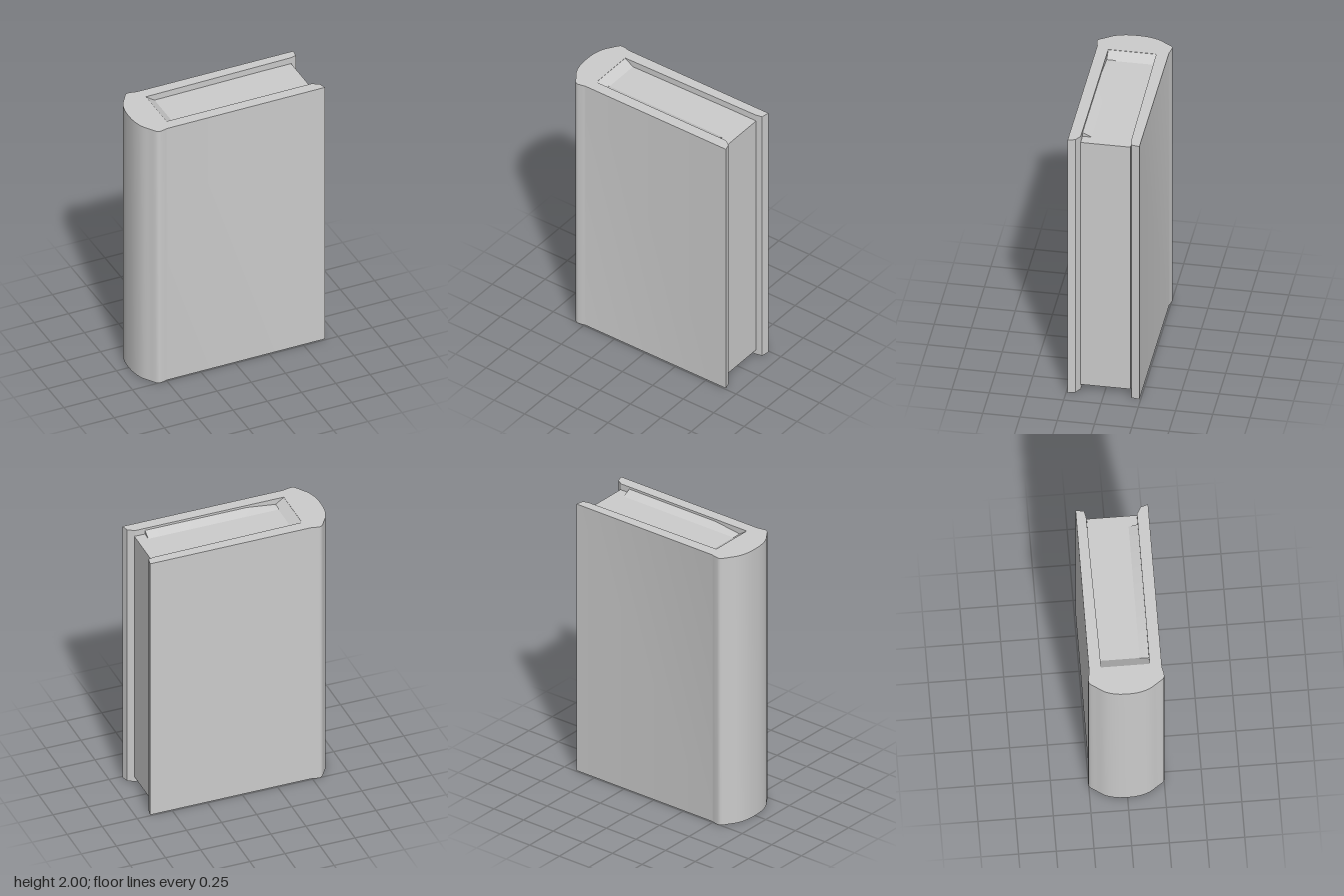
import * as THREE from 'three';
import { toCreasedNormals } from 'three/addons/utils/BufferGeometryUtils.js';

const material = new THREE.MeshStandardMaterial({ color: 0xcccccc });

function addMesh(group, name, geometry) {
  const mesh = new THREE.Mesh(toCreasedNormals(geometry, 0.5), material);
  mesh.name = name;
  group.add(mesh);
  return mesh;
}

// Extrudes an outline of [x, y] points along z by the given depth.
function prism(points, depth) {
  const shape = new THREE.Shape(points.map(([x, y]) => new THREE.Vector2(x, y)));
  return new THREE.ExtrudeGeometry(shape, { depth, bevelEnabled: false });
}

export function createModel() {
  const book = new THREE.Group();
  book.name = 'book';

  // Cover: two boards joined by a rounded spine, drawn as [x, -z] and raised along y
  const spineCurve = new THREE.SplineCurve([
    [-0.49, 0.241], [-0.53, 0.25], [-0.565, 0.248], [-0.6, 0.2], [-0.635, 0.145], [-0.655, 0.075],
    [-0.66, 0], [-0.655, -0.075], [-0.635, -0.145], [-0.6, -0.2], [-0.565, -0.248], [-0.53, -0.25], [-0.49, -0.241],
  ].map(([x, y]) => new THREE.Vector2(x, y)));
  const spine = spineCurve.getPoints(36).map((p) => [p.x, p.y]);
  const cover = prism([
    ...spine,
    [0.66, -0.24], [0.645, -0.19], [0.6, -0.162], [-0.46, -0.162],
    [-0.46, 0.16], [0.6, 0.175], [0.645, 0.185], [0.655, 0.241],
  ], 2);
  cover.rotateX(-Math.PI / 2);
  addMesh(book, 'cover', cover);

  // Page block, set in from the cover at the top, bottom and fore edge
  const pages = new THREE.BoxGeometry(1.085, 1.915, 0.336);
  pages.translate(0.0625, 0.9975, -0.004);
  addMesh(book, 'pages', pages);

  // Sloping strip of pages rising to the front board, narrowing towards the spine
  const ramp = prism([[0.09, 1.95], [0.175, 1.95], [0.175, 1.99]], 0.99);
  ramp.rotateY(-Math.PI / 2);
  ramp.translate(0.53, 0, 0);
  const pos = ramp.attributes.position;
  for (let i = 0; i < pos.count; i++) {
    if (pos.getX(i) < 0 && pos.getY(i) > 1.96) pos.setX(i, -0.15);
  }
  ramp.computeVertexNormals();
  addMesh(book, 'raisedPages', ramp);

  // Headbands: wedges against the spine at both ends of the pages
  const topBand = prism([[-0.47, 1.95], [-0.39, 1.95], [-0.46, 1.998], [-0.47, 1.998]], 0.33);
  const bottomBand = prism([[-0.47, 0.045], [-0.47, 0.002], [-0.46, 0.002], [-0.39, 0.045]], 0.33);
  for (const [name, band] of [['topHeadband', topBand], ['bottomHeadband', bottomBand]]) {
    addMesh(book, name, band).position.z = -0.165;
  }

  return book;
}
